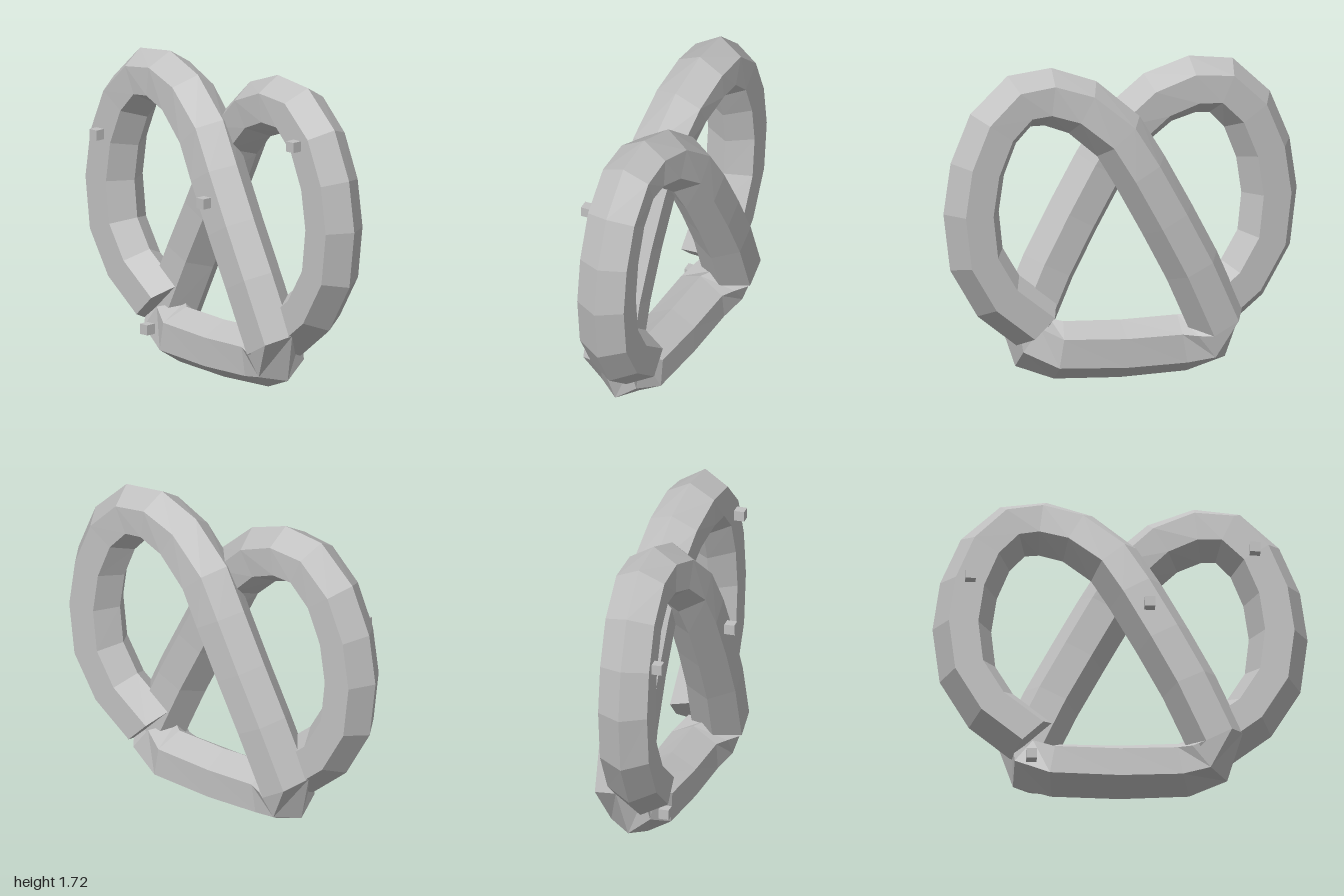
import * as THREE from 'three';

const MID_Z = -0.025; // plane of the bottom bar and side loops
const RADIUS = 0.157;
const SIDES = 6;

// Centre line of one half: bottom middle, sharp corner, front diagonal, loop, free end
const half = [
  [0, 0.166, MID_Z], [0.34, 0.178, 0.0], [0.47, 0.22, 0.05], [0.51, 0.29, 0.095],
  [0.36, 0.62, 0.105], [0.22, 0.885, 0.1], [0.075, 1.15, 0.085], [-0.04, 1.345, 0.06],
  [-0.23, 1.51, 0.022], [-0.415, 1.575, -0.008], [-0.575, 1.56, -0.02], [-0.72, 1.42, MID_Z],
  [-0.81, 1.205, MID_Z], [-0.845, 0.97, MID_Z], [-0.815, 0.715, MID_Z], [-0.69, 0.505, MID_Z],
  [-0.475, 0.335, MID_Z],
].map((p) => new THREE.Vector3(...p));
const CORNER = 3;

// Direction of the strand at ring i of the half
function tangentAt(i) {
  if (i === CORNER) return new THREE.Vector3(-0.47, 0.88, 0.03).normalize();
  if (i === half.length - 1) return new THREE.Vector3(0.69, -0.72, 0).normalize();
  if (i === 0) return new THREE.Vector3(1, 0, 0.05).normalize();
  const before = half[i].clone().sub(half[i - 1]).normalize();
  const after = half[i + 1].clone().sub(half[i]).normalize();
  return before.add(after).normalize();
}

// Hexagonal ring with one pair of flats facing front and back
function ring(center, t) {
  const b = new THREE.Vector3(0, 0, 1).addScaledVector(t, -t.z).normalize();
  const n = b.clone().cross(t);
  return Array.from({ length: SIDES }, (_, j) => {
    const a = (j / SIDES) * Math.PI * 2;
    return center.clone()
      .addScaledVector(n, Math.cos(a) * RADIUS)
      .addScaledVector(b, Math.sin(a) * RADIUS);
  });
}

// Faceted skin over the rings, with flat caps on both free ends
function twistGeometry() {
  const stations = half.map((c, i) => ({ c, t: tangentAt(i) }));
  // The other half is the first one turned half way round the upright axis
  const turned = stations.slice(1).reverse().map(({ c, t }) => ({
    c: new THREE.Vector3(-c.x, c.y, 2 * MID_Z - c.z),
    t: new THREE.Vector3(t.x, -t.y, t.z),
  }));
  const all = [...turned, ...stations];
  const rings = all.map(({ c, t }) => ring(c, t));
  const pos = [];
  const tri = (...points) => points.forEach((p) => pos.push(p.x, p.y, p.z));
  for (let i = 0; i < rings.length - 1; i++) {
    for (let j = 0; j < SIDES; j++) {
      const k = (j + 1) % SIDES;
      tri(rings[i][j], rings[i][k], rings[i + 1][k]);
      tri(rings[i][j], rings[i + 1][k], rings[i + 1][j]);
    }
  }
  const last = rings.length - 1;
  for (let j = 0; j < SIDES; j++) {
    const k = (j + 1) % SIDES;
    tri(all[0].c, rings[0][k], rings[0][j]);
    tri(all[last].c, rings[last][j], rings[last][k]);
  }
  const geometry = new THREE.BufferGeometry();
  geometry.setAttribute('position', new THREE.Float32BufferAttribute(pos, 3));
  geometry.computeVertexNormals();
  return geometry;
}

export function createModel() {
  const group = new THREE.Group();
  group.name = 'pretzel';
  const grey = new THREE.MeshStandardMaterial({ color: 0xc0c0c0 });
  grey.name = 'light grey';

  const twist = new THREE.Mesh(twistGeometry(), grey);
  twist.name = 'twistedDough';
  group.add(twist);

  // Salt grains on the front
  const grain = new THREE.BoxGeometry(0.056, 0.056, 0.056);
  [[-0.81, 1.225, 0.137], [0.14, 1.035, 0.26], [0.71, 1.425, 0.145], [-0.48, 0.205, 0.08]]
    .forEach((p, i) => {
      const salt = new THREE.Mesh(grain, grey);
      salt.name = `saltGrain${i + 1}`;
      salt.position.set(...p);
      group.add(salt);
    });
  return group;
}
